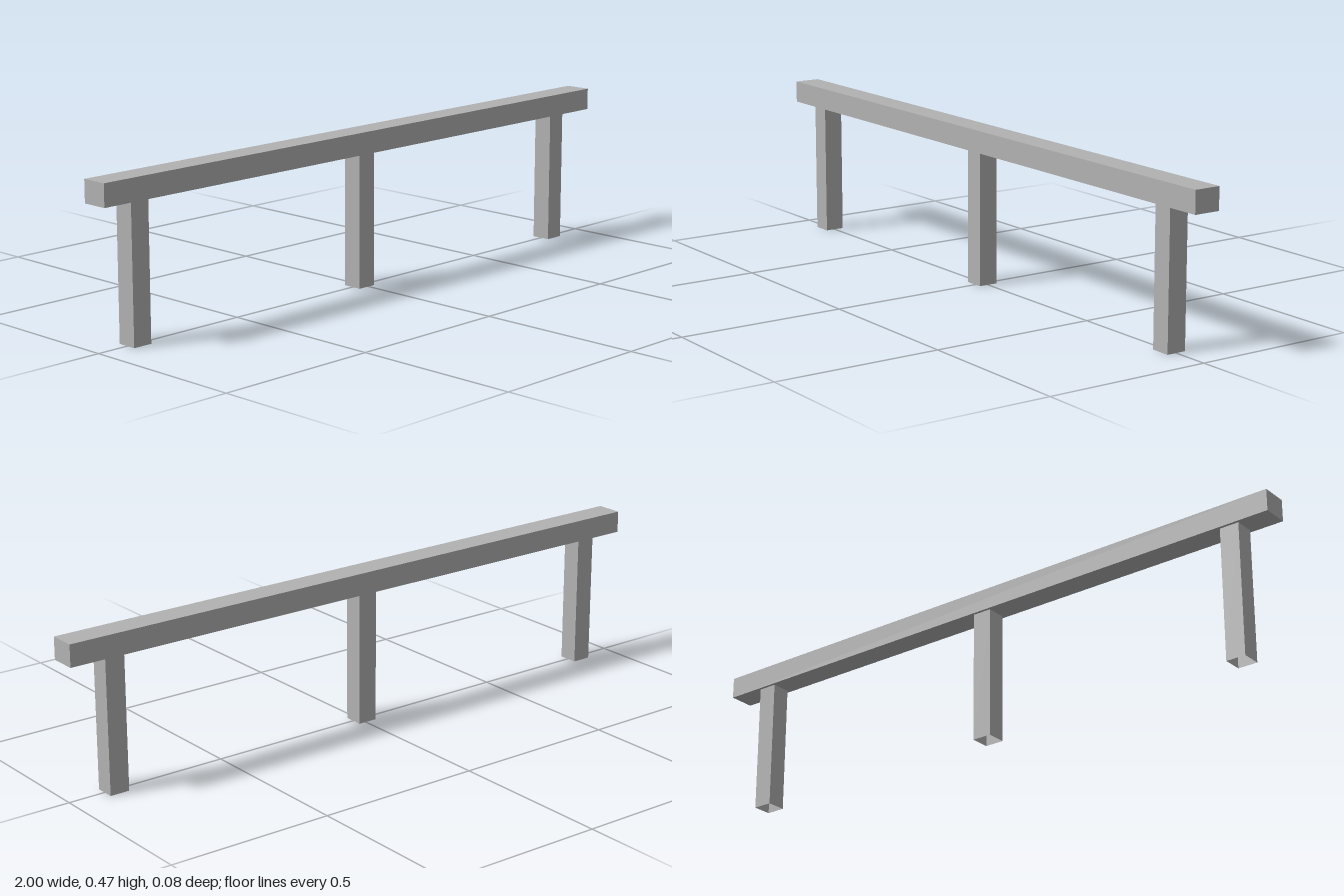
import * as THREE from 'three';

export function createModel() {
  const model = new THREE.Group();
  model.name = 'railBarrier';

  const grey = new THREE.MeshStandardMaterial({ color: 0xb2b2b2, side: THREE.DoubleSide });
  grey.name = 'grey';

  const railBottom = 0.402;
  const railTop = 0.468;

  // Long horizontal rail
  const rail = new THREE.Mesh(new THREE.BoxGeometry(2, railTop - railBottom, 0.08), grey);
  rail.name = 'rail';
  rail.position.y = (railBottom + railTop) / 2;
  model.add(rail);

  // Hollow square post: four outward-facing walls, open at both ends
  const postWidth = 0.06;
  const postGeometry = new THREE.CylinderGeometry(
    postWidth / Math.SQRT2, postWidth / Math.SQRT2, railBottom, 4, 1, true
  ).rotateY(Math.PI / 4).toNonIndexed();
  postGeometry.computeVertexNormals();

  // Three evenly spaced posts
  const names = ['rightPost', 'middlePost', 'leftPost'];
  names.forEach((name, i) => {
    const post = new THREE.Mesh(postGeometry, grey);
    post.name = name;
    post.position.set(-0.007 + (i - 1) * 0.864, railBottom / 2, -0.001);
    model.add(post);
  });

  return model;
}
